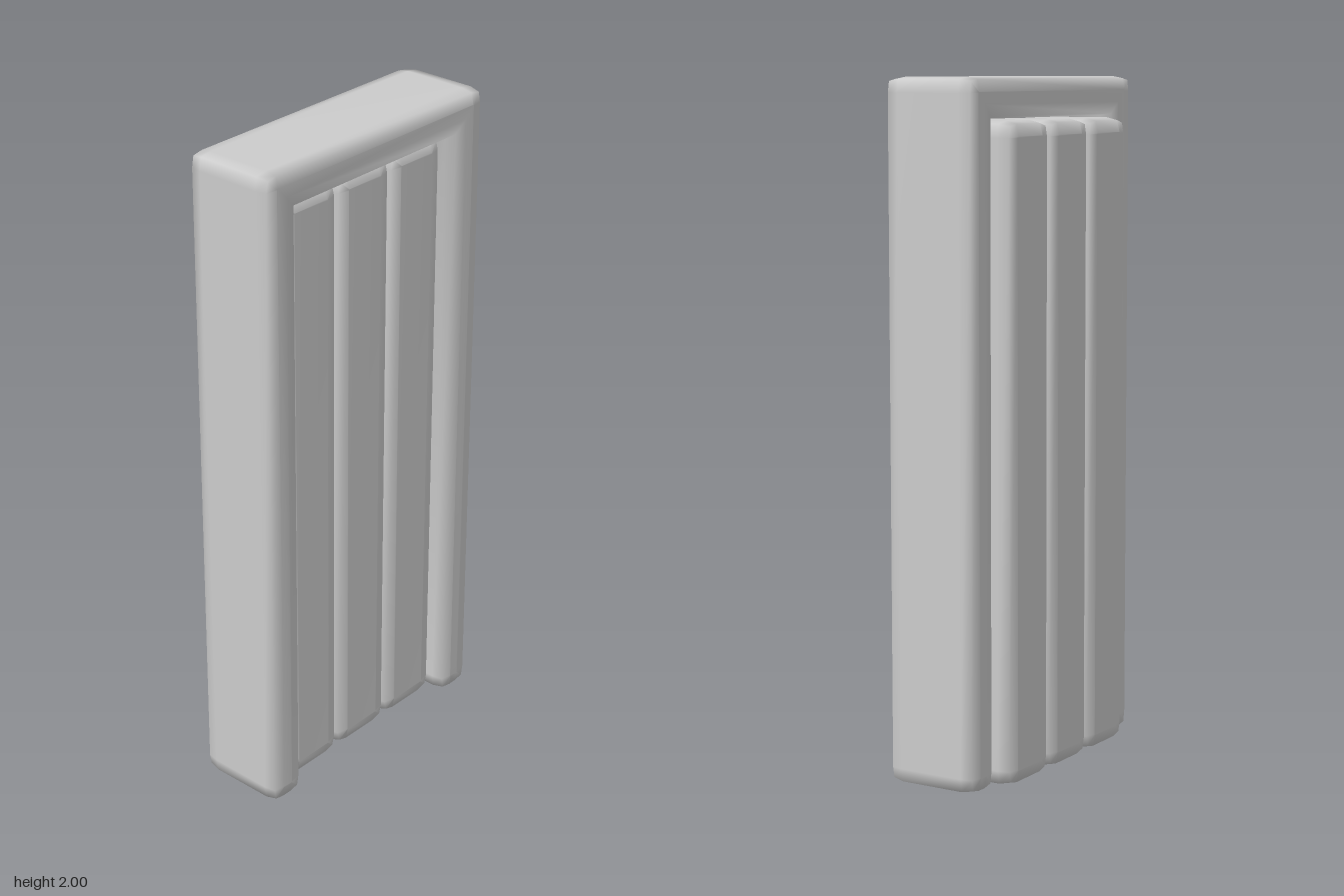
import * as THREE from 'three';

const material = new THREE.MeshStandardMaterial({ color: 0xcccccc });

// Outline (counter-clockwise, square corners) inset by d, with its convex corners softened.
function insetOutline(corners, d, r, pull) {
  const out = [];
  const n = corners.length;
  corners.forEach((c, i) => {
    const p = new THREE.Vector2(...c);
    const a = p.clone().sub(new THREE.Vector2(...corners[(i + n - 1) % n])).normalize();
    const b = new THREE.Vector2(...corners[(i + 1) % n]).sub(p).normalize();
    const q = p.add(new THREE.Vector2(-a.y - b.y, a.x + b.x).multiplyScalar(d));
    if (a.cross(b) < 0) { out.push(q); return; }
    const len = r * 1.1 - d;
    const k = Math.min(pull, len * 0.25);
    out.push(
      q.clone().addScaledVector(a, -len),
      q.clone().addScaledVector(a, -k).addScaledVector(b, k),
      q.clone().addScaledVector(b, len),
    );
  });
  return out;
}

// Slab with softly rounded edges, lofted through inset copies of one outline.
function softSlab(name, corners, back, front, r, pull) {
  const rings = [
    [r, front], [pull, front - pull], [0, front - r],
    [0, back + r], [pull, back + pull], [r, back],
  ].map(([d, z]) => ({ z, pts: insetOutline(corners, d, r, pull) }));
  const n = rings[0].pts.length;
  const positions = rings.flatMap(({ z, pts }) => pts.flatMap((p) => [p.x, p.y, z]));
  const index = [];
  for (let k = 0; k < rings.length - 1; k++) {
    for (let i = 0; i < n; i++) {
      const j = (i + 1) % n;
      const f = k * n, g = f + n;
      index.push(f + i, g + i, g + j, f + i, g + j, f + j);
    }
  }
  // front and back caps
  const last = (rings.length - 1) * n;
  for (const [a, b, c] of THREE.ShapeUtils.triangulateShape(rings[0].pts, [])) {
    index.push(a, b, c, last + a, last + c, last + b);
  }
  const geometry = new THREE.BufferGeometry();
  geometry.setAttribute('position', new THREE.Float32BufferAttribute(positions, 3));
  geometry.setIndex(index);
  geometry.computeVertexNormals();
  const mesh = new THREE.Mesh(geometry, material);
  mesh.name = name;
  return mesh;
}

export function createModel() {
  const group = new THREE.Group();
  group.name = 'door';

  // U-shaped frame, open at the bottom
  const W = 0.445, I = 0.33, H = 2, T = 1.885;
  group.add(softSlab('frame', [
    [-W, 0], [-I, 0], [-I, T], [I, T], [I, 0], [W, 0], [W, H], [-W, H],
  ], -0.115, 0.165, 0.04, 0.006));

  // three upright planks, set back from the frame's front
  const planks = new THREE.Group();
  planks.name = 'planks';
  for (let i = -1; i <= 1; i++) {
    const x = i * 0.219, h = 0.109;
    planks.add(softSlab(`plank${i + 2}`, [
      [x - h, 0], [x + h, 0], [x + h, 1.88], [x - h, 1.88],
    ], -0.167, 0.115, 0.042, 0.008));
  }
  group.add(planks);
  return group;
}
